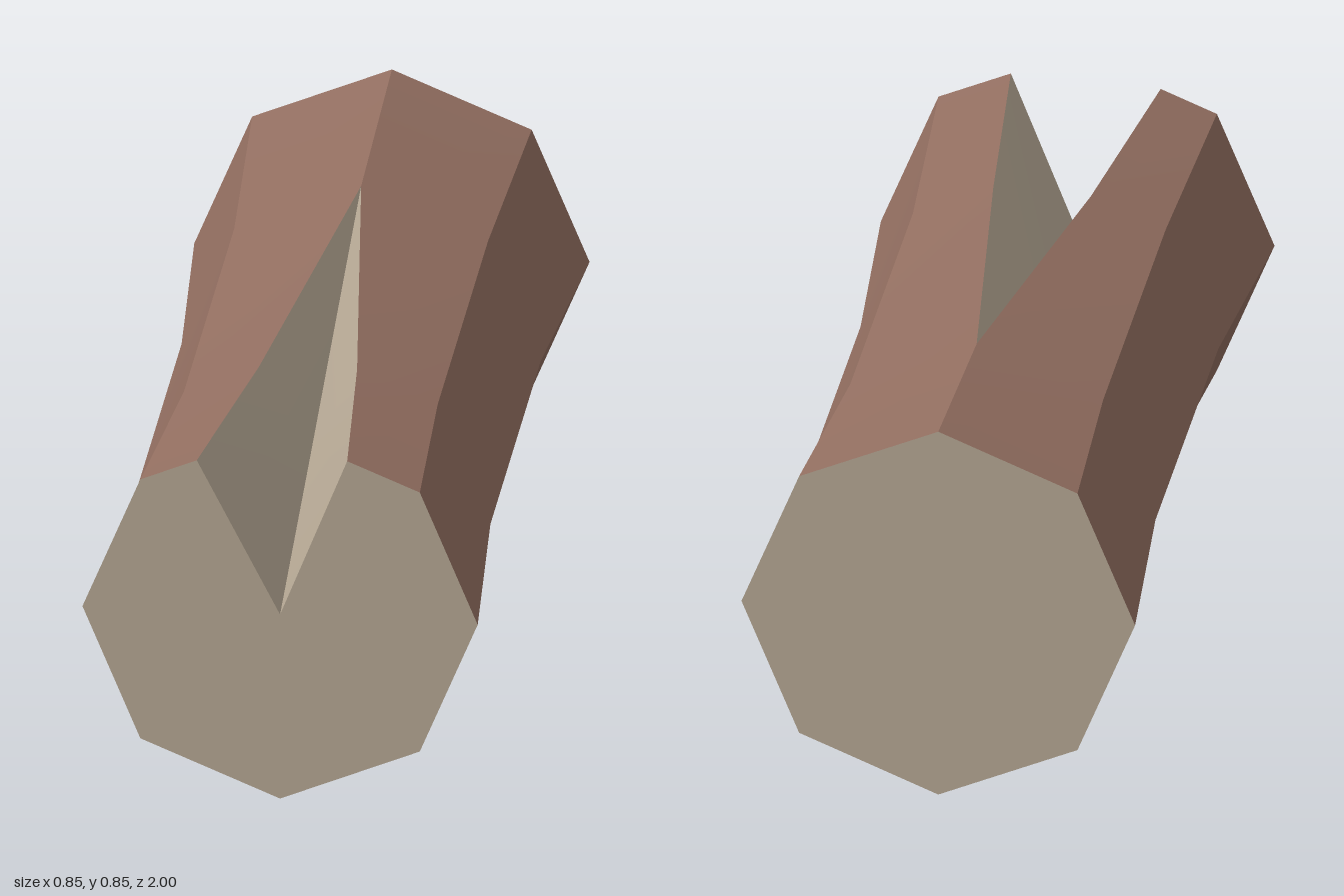
import * as THREE from 'three';
import { mergeGeometries } from 'three/addons/utils/BufferGeometryUtils.js';

const CY = 0.428; // height of the log's axis

// Cross-sections from front to back: radius, notch half-widths and notch floor height
const SECTIONS = [
  { z: 1, r: 0.427, right: 0.145, left: 0.18, floor: 0.43 },
  { z: 0.45, r: 0.388, right: 0.1, left: 0.112, floor: 0.573 },
  { z: -0.45, r: 0.388 },
  { z: -1, r: 0.427 },
];

// Counter-clockwise outline: corner 45 degrees, notch right, floor, left, then the other corners
function outline({ z, r, right = 0, left = 0, floor }) {
  const rim = (x) => new THREE.Vector3(x, CY + r - Math.abs(x) * Math.tan(Math.PI / 8), z);
  const corner = (k) => {
    const a = (k * Math.PI) / 4;
    return new THREE.Vector3(r * Math.cos(a), CY + r * Math.sin(a), z);
  };
  const points = [corner(1), rim(right), new THREE.Vector3(0, floor ?? CY + r, z), rim(-left)];
  for (let k = 3; k <= 8; k++) points.push(corner(k));
  return points;
}

// Long facet between two outline lines; smooth along its length, sharp at its sides
function facet(a, b, flip = false) {
  const n = a.length;
  const index = [];
  const all = [...a, ...b];
  const tri = (i, j, k) => {
    const area = new THREE.Triangle(all[i], all[j], all[k]).getArea();
    if (area > 1e-6) index.push(i, j, k);
  };
  for (let i = 0; i < n - 1; i++) {
    const [a0, a1, b0, b1] = [i, i + 1, n + i, n + i + 1];
    if (flip) {
      tri(a0, a1, b1);
      tri(a0, b1, b0);
    } else {
      tri(a0, a1, b0);
      tri(b0, a1, b1);
    }
  }
  const g = new THREE.BufferGeometry().setFromPoints(all);
  g.setIndex(index);
  g.computeVertexNormals();
  return g;
}

// Flat sawn end
function endCap(points, z, back) {
  const g = new THREE.ShapeGeometry(new THREE.Shape(points.map((p) => new THREE.Vector2(p.x, p.y))));
  if (back) g.rotateY(Math.PI);
  return g.translate(0, 0, z);
}

export function createModel() {
  const bark = new THREE.MeshStandardMaterial({ color: 0x926e60 });
  bark.name = 'bark';
  const wood = new THREE.MeshStandardMaterial({ color: 0xb8aa96 });
  wood.name = 'cutWood';

  const model = new THREE.Group();
  model.name = 'notchedLog';
  const add = (name, geometry, material) => {
    const mesh = new THREE.Mesh(geometry, material);
    mesh.name = name;
    model.add(mesh);
  };

  const rings = SECTIONS.map(outline);
  const count = rings[0].length;
  const line = (k, rows = 4) => rings.slice(0, rows).map((ring) => ring[k % count]);

  // Bark all round, except across the notch
  const barkFacets = [];
  for (let k = 0; k < count - 1; k++) {
    if (k !== 1 && k !== 2) barkFacets.push(facet(line(k), line(k + 1)));
  }
  // The last outline corner meets the first to close the side
  barkFacets.push(facet(line(count - 1), line(0)));
  add('barkSides', mergeGeometries(barkFacets), bark);

  // Wedge-shaped notch, running out at the third section
  add('notchWallLeft', facet(line(1, 3), line(2, 3), true), wood);
  add('notchWallRight', facet(line(2, 3), line(3, 3)), wood);

  // Sawn ends
  add('frontEnd', endCap(rings[0], 1, false), wood);
  const octagon = rings[3].filter((p, i) => i !== 1 && i !== 3);
  add('backEnd', endCap(octagon, -1, true), wood);

  return model;
}
